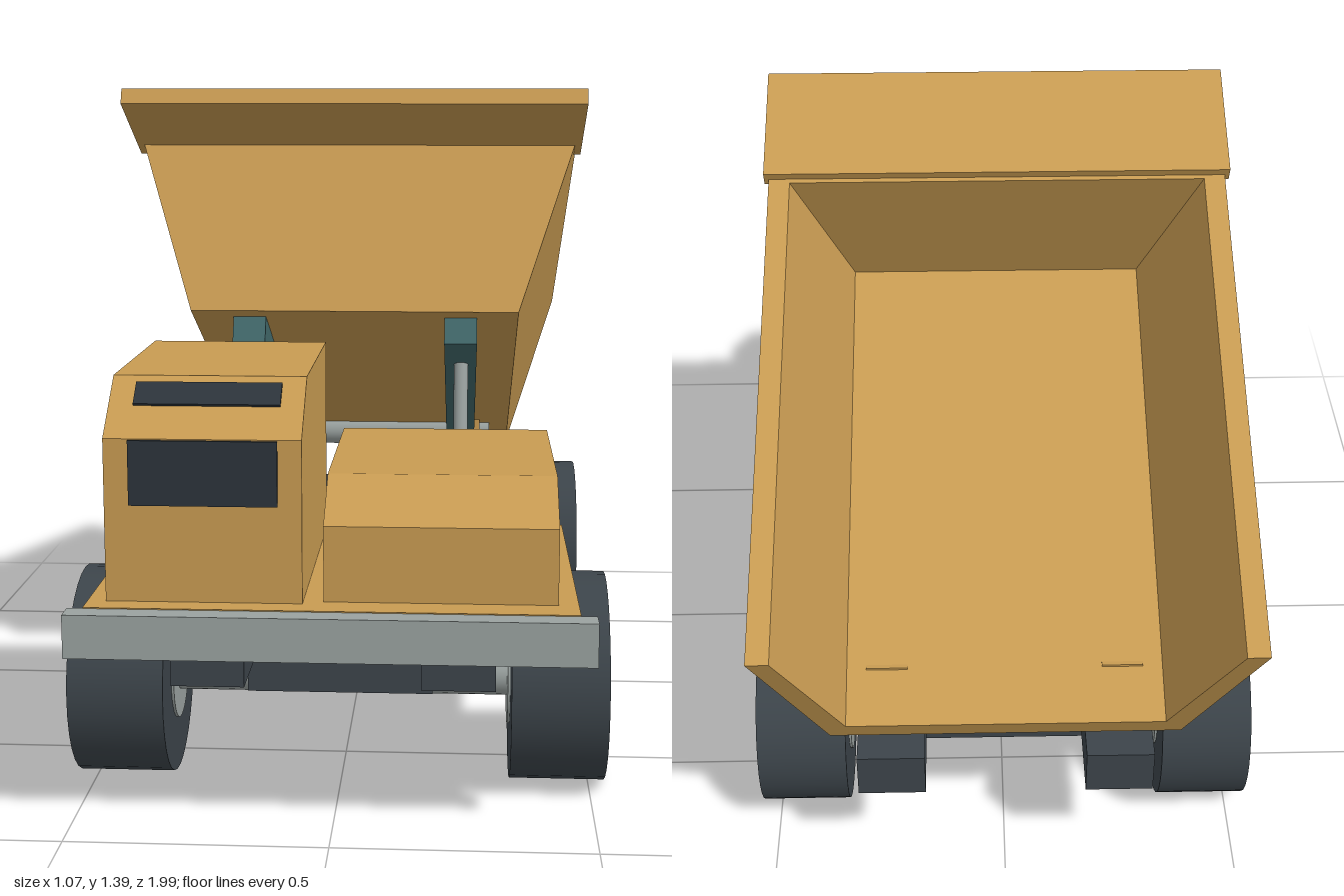
import * as THREE from 'three';

const mat = (color, extra = {}) => new THREE.MeshStandardMaterial({ color, ...extra });
const TAN = mat(0xc89b52), DARK = mat(0x3c444a), GREY = mat(0x9aa2a0), TEAL = mat(0x42696b), GLASS = mat(0x2c343b);

export function createModel() {
  const root = new THREE.Group();
  root.name = 'dumpTruck';

  const add = (name, geometry, material, parent = root) => {
    const mesh = new THREE.Mesh(geometry, material);
    mesh.name = name;
    parent.add(mesh);
    return mesh;
  };

  // Box given by its extents on each axis
  const box = (name, material, [x0, x1], [y0, y1], [z0, z1], parent) => {
    const mesh = add(name, new THREE.BoxGeometry(x1 - x0, y1 - y0, z1 - z0), material, parent);
    mesh.position.set((x0 + x1) / 2, (y0 + y1) / 2, (z0 + z1) / 2);
    return mesh;
  };

  // Cylinder between two points
  const rod = (name, material, a, b, r, segments = 32) => {
    const from = new THREE.Vector3(...a), to = new THREE.Vector3(...b);
    const dir = to.clone().sub(from);
    const mesh = add(name, new THREE.CylinderGeometry(r, r, dir.length(), segments), material);
    mesh.position.copy(from).add(to).multiplyScalar(0.5);
    mesh.quaternion.setFromUnitVectors(new THREE.Vector3(0, 1, 0), dir.normalize());
    return mesh;
  };

  const extrude = (points, depth) => new THREE.ExtrudeGeometry(
    new THREE.Shape(points.map(([x, y]) => new THREE.Vector2(x, y))), { depth, bevelEnabled: false });

  // Side profile of [z, y] points, extruded from x0 to x1
  const sideProfile = (name, material, points, x0, x1) => {
    const geometry = extrude(points.map(([z, y]) => [-z, y]), x1 - x0);
    geometry.rotateY(Math.PI / 2);
    geometry.translate(x0, 0, 0);
    return add(name, geometry, material);
  };

  // Wheels, axles and axle mounts
  for (const [end, z] of [['front', 0.59], ['rear', -0.52]]) {
    rod(end + 'Axle', GREY, [-0.36, 0.21, z], [0.36, 0.21, z], 0.045);
    box(end + 'AxleMount', DARK, [-0.185, 0.185], [0.195, 0.287], [z - 0.1, z + 0.1]);
    box(end + 'CrossMember', DARK, [-0.17, 0.17], [0.287, 0.365], [z - 0.08, z + 0.08]);
    for (const [side, s] of [['Left', 1], ['Right', -1]]) {
      rod(end + side + 'Tyre', DARK, [s * 0.34, 0.21, z], [s * 0.53, 0.21, z], 0.21);
      rod(end + side + 'Hub', GREY, [s * 0.335, 0.21, z], [s * 0.535, 0.21, z], 0.102);
    }
  }

  // Chassis rails, hinge brackets and lifting rams
  for (const [side, s] of [['left', 1], ['right', -1]]) {
    const span = (a, b) => (s > 0 ? [a, b] : [-b, -a]);
    box(side + 'ChassisRail', DARK, span(0.167, 0.307), [0.273, 0.375], [-0.845, 0.9]);
    box(side + 'HingeBracket', TAN, span(0.2, 0.285), [0.37, 0.525], [-0.735, -0.615]);
    box(side + 'RamBase', DARK, span(0.17, 0.3), [0.375, 0.4], [0.07, 0.21]);
    const x = s * 0.235;
    rod(side + 'RamCylinder', TEAL, [x, 0.38, 0.155], [x, 0.62, 0.1], 0.034, 24);
    rod(side + 'RamRod', GREY, [x, 0.6, 0.105], [x, 0.79, 0.06], 0.016, 20);
  }
  rod('hingePin', GREY, [-0.31, 0.475, -0.67], [0.31, 0.475, -0.67], 0.037);

  // Front deck and bumper
  box('deck', TAN, [-0.46, 0.46], [0.36, 0.44], [0.255, 0.955]);
  box('bumper', GREY, [-0.49, 0.49], [0.355, 0.438], [0.953, 1]);

  // Cab and engine hood
  sideProfile('cab', TAN, [[0.31, 0.43], [0.31, 0.85], [0.785, 0.85], [0.908, 0.75], [0.908, 0.43]], -0.425, -0.055);
  sideProfile('engineHood', TAN, [[0.295, 0.43], [0.295, 0.66], [0.77, 0.66], [0.892, 0.585], [0.892, 0.43]], -0.017, 0.422);

  // Cab windows
  box('windshield', GLASS, [-0.378, -0.1], [0.625, 0.748], [0.9, 0.915]);
  sideProfile('sideWindow', GLASS, [[0.35, 0.605], [0.35, 0.8], [0.77, 0.8], [0.835, 0.745], [0.835, 0.605]], -0.433, -0.42);
  const slope = Math.atan2(0.1, 0.123);
  const upper = add('upperWindow', new THREE.BoxGeometry(0.278, 0.01, 0.056), GLASS);
  upper.position.set(-0.239, 0.8195, 0.8235);
  upper.rotation.x = slope;

  // Tipped bed: local z runs forward along the floor, local y up from it
  const bed = new THREE.Group();
  bed.name = 'dumpBed';
  bed.position.set(0, 0.42, -0.82);
  bed.rotation.x = -THREE.MathUtils.degToRad(25);
  root.add(bed);

  add('bedFloorAndSides', extrude([
    [-0.36, 0], [0.36, 0], [0.49, 0.41], [0.445, 0.41],
    [0.325, 0.055], [-0.325, 0.055], [-0.445, 0.41], [-0.49, 0.41],
  ], 1.09), TAN, bed);
  add('bedFrontWall', extrude([[-0.36, 0], [0.36, 0], [0.49, 0.41], [-0.49, 0.41]], 0.06), TAN, bed).position.z = 1.09;
  box('bedCanopy', TAN, [-0.5, 0.5], [0.393, 0.428], [1.1, 1.372], bed);
  for (const [side, s] of [['left', 1], ['right', -1]]) {
    box(side + 'BedRunner', TEAL, [s * 0.234 - 0.036, s * 0.234 + 0.036], [-0.06, 0.005], [0.12, 1.108], bed);
  }

  return root;
}
